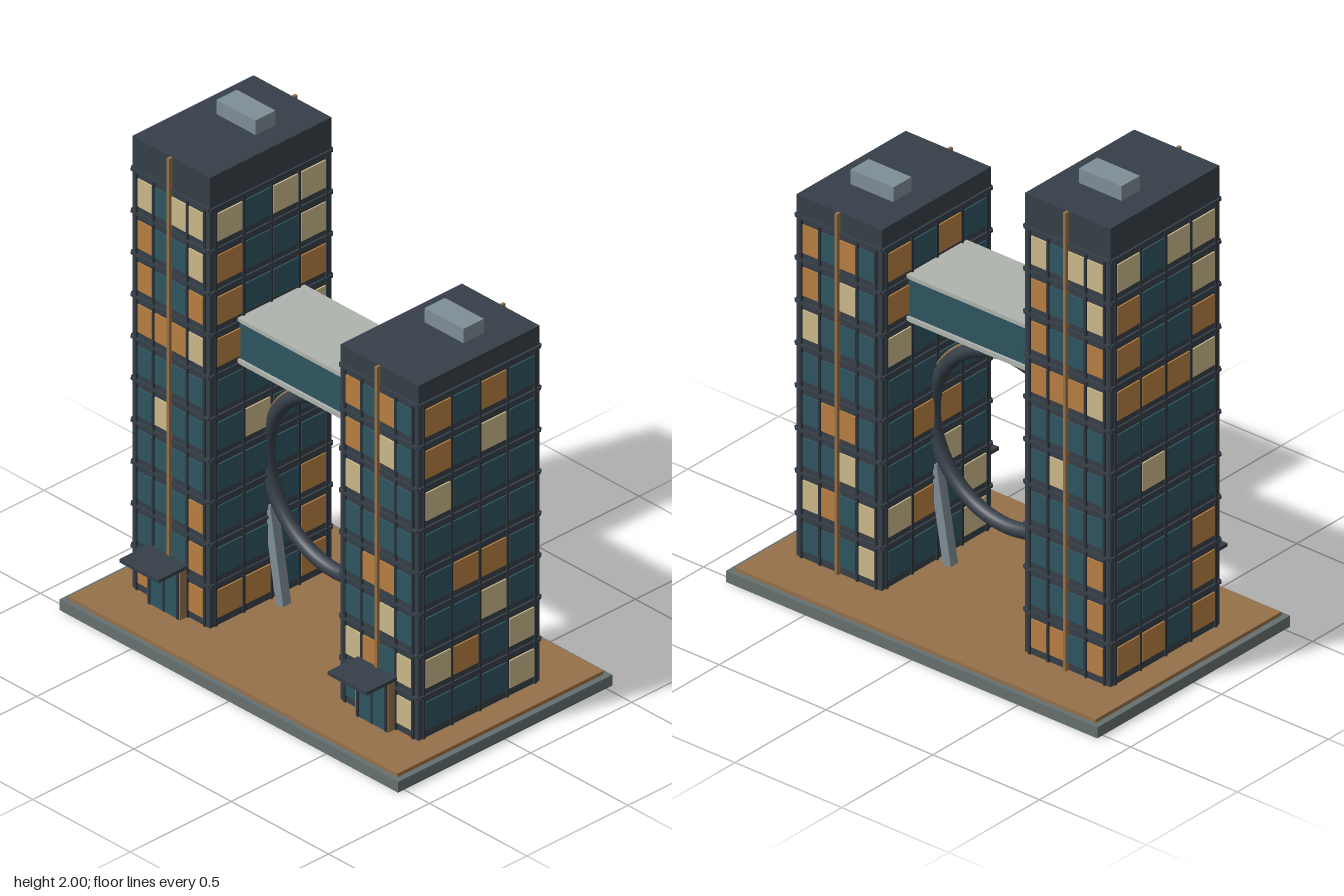
import * as THREE from 'three';

const material = (color) => new THREE.MeshStandardMaterial({ color });
const M = {
  dark: material(0x363f48), teal: material(0x2f5560), orange: material(0xb87f42),
  cream: material(0xcbb98a), copper: material(0x97714a), stone: material(0x667070),
  steel: material(0x7f8e96), pale: material(0xaeb4ae), frame: material(0x2c343b),
};
const PANE = { T: M.teal, O: M.orange, C: M.cream };
const GROUND = 0.06, FLOOR = 0.1745;

function box(parent, name, mat, [w, h, d], [x, y, z]) {
  const mesh = new THREE.Mesh(new THREE.BoxGeometry(w, h, d), mat);
  mesh.name = name;
  mesh.position.set(x, y, z);
  parent.add(mesh);
  return mesh;
}

// One window wall facing +z: panes, mullions and floor ledges
function facade(width, depth, rows) {
  const wall = new THREE.Group();
  wall.name = 'facade';
  const pitch = (width - 0.05) / 4;
  const height = rows.length * FLOOR;
  rows.forEach((row, r) => {
    [...row].forEach((key, c) => {
      box(wall, 'windowPane', PANE[key], [pitch - 0.015, 0.115, 0.006],
        [(c - 1.5) * pitch, 0.15 + r * FLOOR, depth + 0.003]);
    });
    box(wall, 'floorLedge', M.dark, [width, 0.012, 0.008], [0, GROUND + (r + 1) * FLOOR, depth + 0.004]);
  });
  for (let i = 0; i <= 4; i++) {
    box(wall, 'mullion', M.frame, [0.009, height, 0.007],
      [(i - 2) * pitch, GROUND + height / 2, depth + 0.0035]);
  }
  return wall;
}

// Tower with four facades, copper fins, roof box and entrance
function tower(name, x, top, rows) {
  const g = new THREE.Group();
  g.name = name;
  g.position.x = x;
  const h = top - GROUND;
  box(g, 'towerBody', M.dark, [0.4, h, 0.6], [0, GROUND + h / 2, 0]);
  for (let side = 0; side < 4; side++) {
    const narrow = side % 2 === 0;
    const wall = facade(narrow ? 0.4 : 0.6, narrow ? 0.3 : 0.2, rows);
    wall.rotation.y = side * Math.PI / 2;
    g.add(wall);
  }
  for (const s of [-1, 1]) {
    box(g, 'copperFin', M.copper, [0.012, h, 0.018], [0, GROUND + h / 2, s * 0.309]);
  }
  box(g, 'roofUnit', M.steel, [0.2, 0.06, 0.1], [0, top + 0.03, -0.07]);

  // Entrance
  box(g, 'doorGlass', M.teal, [0.15, 0.195, 0.035], [0, GROUND + 0.0975, 0.32]);
  box(g, 'doorMullion', M.frame, [0.006, 0.195, 0.004], [0, GROUND + 0.0975, 0.339]);
  box(g, 'doorLintel', M.copper, [0.16, 0.012, 0.04], [0, 0.261, 0.32]);
  for (const s of [-1, 1]) {
    box(g, 'doorJamb', M.frame, [0.012, 0.2, 0.04], [s * 0.073, 0.16, 0.321]);
    box(g, 'doorTrim', M.copper, [0.005, 0.2, 0.036], [s * 0.083, 0.16, 0.32]);
  }
  box(g, 'canopy', M.dark, [0.2, 0.014, 0.15], [0, 0.279, 0.385]);
  return g;
}

export function createModel() {
  const model = new THREE.Group();
  model.name = 'twinTowers';

  // Plinth
  box(model, 'plinth', M.stone, [1.74, 0.045, 1.06], [0, 0.0225, 0]);
  box(model, 'plazaDeck', M.copper, [1.69, 0.015, 1.02], [0, 0.0525, 0]);

  // Window patterns, ground floor first: T dark glass, O warm light, C pale light
  model.add(tower('tallTower', -0.535, 1.94,
    ['OOTO', 'TTTO', 'TTTO', 'TTTT', 'TCTT', 'TTTT', 'OOOC', 'OTTO', 'OTTC', 'CTCC']));
  model.add(tower('shortTower', 0.535, 1.54,
    ['TTTC', 'COTC', 'TTCT', 'TOOT', 'TTTT', 'CTTT', 'OTCT', 'OTOT']));

  // Sky bridge
  box(model, 'bridgeGlass', M.teal, [0.67, 0.16, 0.31], [0, 1.207, 0]);
  box(model, 'bridgeFloor', M.pale, [0.67, 0.018, 0.33], [0, 1.119, 0]);
  box(model, 'bridgeRoof', M.pale, [0.67, 0.016, 0.33], [0, 1.292, 0]);

  // Ring between the towers with a copper outer rim
  const ring = new THREE.Group();
  ring.name = 'ring';
  ring.position.y = 0.672;
  const tube = new THREE.Mesh(new THREE.TorusGeometry(0.352, 0.029, 16, 64), M.dark);
  tube.name = 'ringTube';
  const rim = new THREE.Mesh(new THREE.TorusGeometry(0.379, 0.008, 8, 64), M.copper);
  rim.name = 'ringRim';
  ring.add(tube, rim);
  model.add(ring);

  // Leaning struts under the ring
  for (const s of [-1, 1]) {
    const strut = box(model, 'ringStrut', M.steel, [0.038, 0.4, 0.04], [s * 0.303, 0.262, 0]);
    strut.rotation.z = -s * 0.17;
  }
  return model;
}
